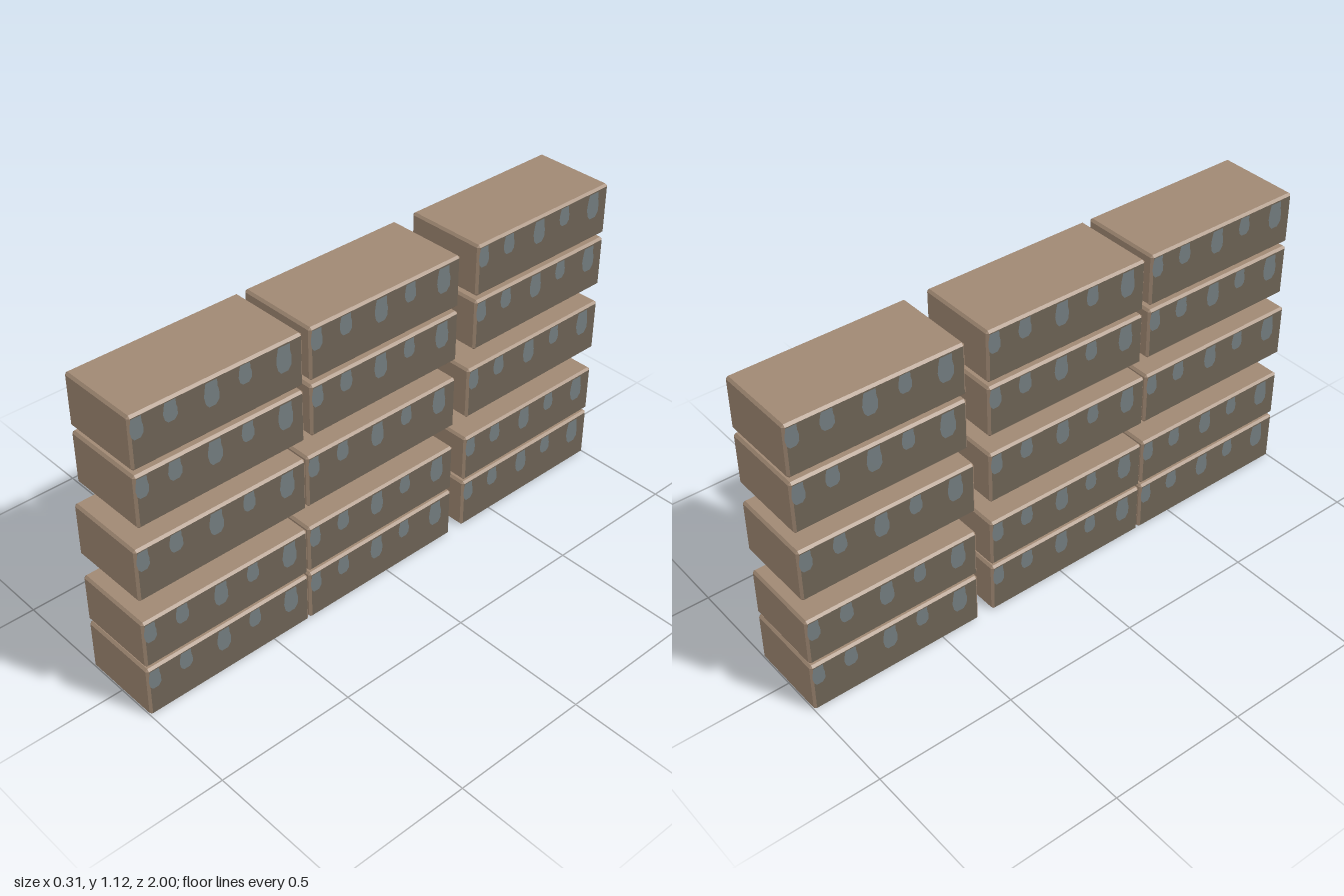
import * as THREE from 'three';
import { ConvexGeometry } from 'three/addons/geometries/ConvexGeometry.js';

const tan = new THREE.MeshStandardMaterial({ color: 0xa08873 });
tan.name = 'tan clay';
const greyBrown = new THREE.MeshStandardMaterial({ color: 0x6c6254 });
greyBrown.name = 'grey brown side';
const slate = new THREE.MeshStandardMaterial({ color: 0x727b7e });
slate.name = 'slate drip';

const HALF_WIDTH = 0.151;

// Box with chamfered edges; the two long side faces take the second material
function chamferedBox(w, h, d, c) {
  const points = [];
  const half = [w / 2, h / 2, d / 2];
  for (const sx of [-1, 1]) for (const sy of [-1, 1]) for (const sz of [-1, 1]) {
    for (let axis = 0; axis < 3; axis++) {
      const p = [sx, sy, sz].map((s, i) => s * (half[i] - (i === axis ? 0 : c)));
      points.push(new THREE.Vector3(...p));
    }
  }
  const geometry = new ConvexGeometry(points);
  const normal = geometry.attributes.normal;
  for (let i = 0; i < normal.count; i += 3) {
    geometry.addGroup(i, 3, Math.abs(normal.getX(i)) > 0.95 ? 1 : 0);
  }
  return geometry;
}

// Drips along one side: [centre as a fraction of the length, width, depth, drop of the top]
const drips = [
  [0.04, 0.046, 0.078, 0.006],
  [0.225, 0.05, 0.074, 0.006],
  [0.455, 0.054, 0.092, 0.008],
  [0.65, 0.048, 0.072, 0.006],
  [0.88, 0.058, 0.1, 0.008],
];

// Rounded, slightly uneven blob hanging from the top edge
function dripShape(u, w, depth, top) {
  const outline = [
    [-0.36, 0], [0.4, 0], [0.42, 0.3], [0.5, 0.5],
    [0.48, 0.82], [0.26, 1], [-0.2, 1], [-0.4, 0.84], [-0.5, 0.55], [-0.46, 0.3],
  ];
  return new THREE.Shape(outline.map(([x, y]) =>
    new THREE.Vector2(u + x * w, -top - y * (depth - top))).reverse());
}

function makeBrick(y0, y1, z0, z1) {
  const brick = new THREE.Group();
  brick.name = 'brick';
  const height = y1 - y0, length = z1 - z0;
  brick.position.set(0, (y0 + y1) / 2, (z0 + z1) / 2);

  const block = new THREE.Mesh(chamferedBox(HALF_WIDTH * 2, height, length, 0.008), [tan, greyBrown]);
  block.name = 'block';
  brick.add(block);

  // Painted drips, the same on both long sides
  const shapes = drips.map(([u, w, d, top]) => dripShape((u - 0.5) * length, w, d, top));
  const dripGeometry = new THREE.ShapeGeometry(shapes);
  for (const side of [1, -1]) {
    const paint = new THREE.Mesh(dripGeometry, slate);
    paint.name = side > 0 ? 'leftDrips' : 'rightDrips';
    paint.rotation.y = side * Math.PI / 2;
    paint.position.set(side * (HALF_WIDTH + 0.0015), height / 2 - 0.004, 0);
    brick.add(paint);
  }
  return brick;
}

export function createModel() {
  const wall = new THREE.Group();
  wall.name = 'brickWall';

  const longRow = [[-1, -0.355], [-0.297, 0.349], [0.354, 1]];
  const shortRow = [[-0.998, -0.376], [-0.297, 0.328], [0.354, 0.978]];
  const rows = [
    [0, 0.19, longRow],
    [0.201, 0.38, longRow],
    [0.466, 0.661, longRow],
    [0.73, 0.918, shortRow],
    [0.935, 1.122, shortRow],
  ];
  for (const [y0, y1, spans] of rows) {
    const row = new THREE.Group();
    row.name = 'brickRow';
    for (const [z0, z1] of spans) row.add(makeBrick(y0, y1, z0, z1));
    wall.add(row);
  }
  return wall;
}
